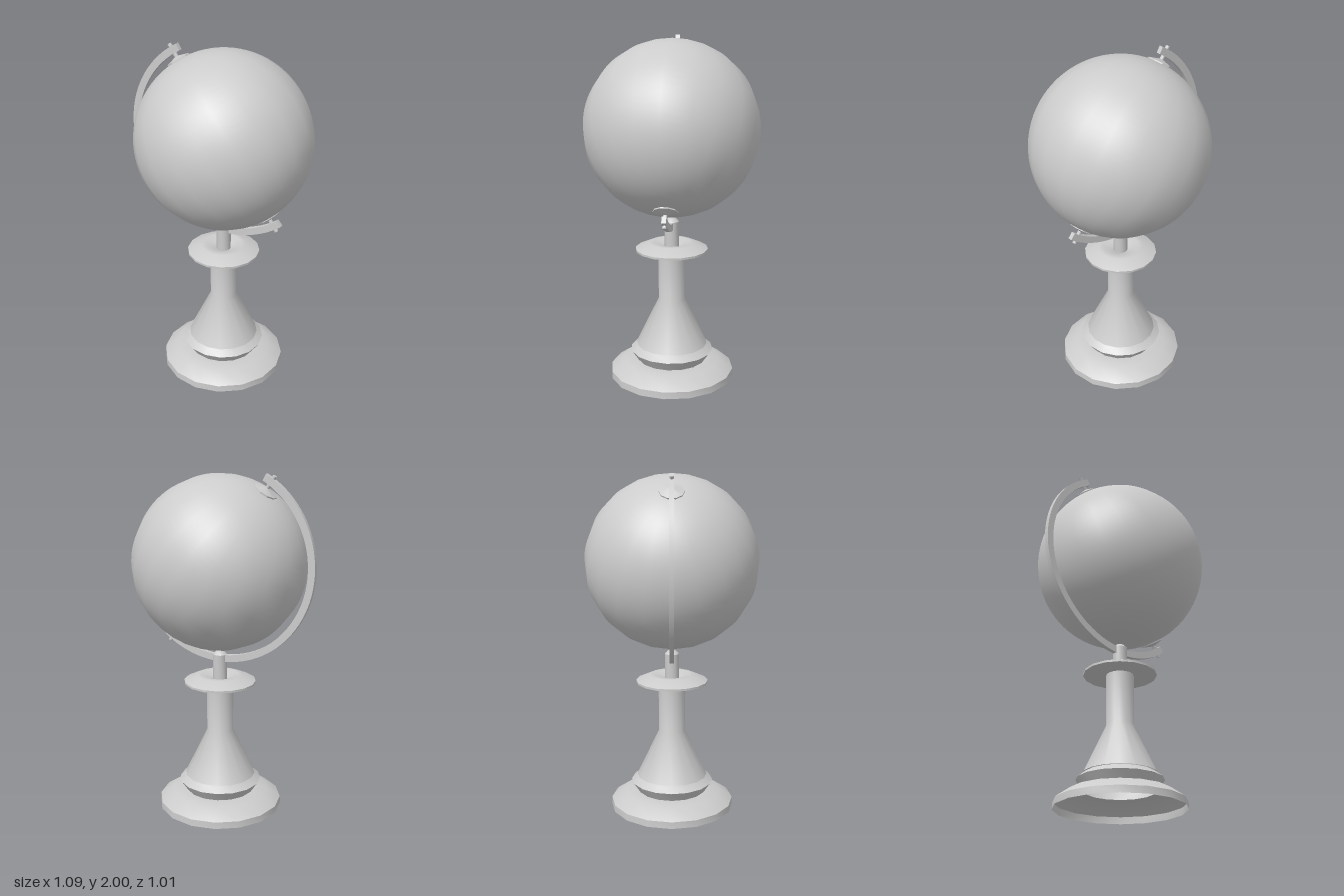
import * as THREE from 'three';
import { toCreasedNormals } from 'three/addons/utils/BufferGeometryUtils.js';

const AXIS_X = 0.035;          // stand and ball share this vertical axis
const BALL_Y = 1.49;
const TILT = THREE.MathUtils.degToRad(34);

const material = new THREE.MeshStandardMaterial({ color: 0xcccccc, side: THREE.DoubleSide });

function addMesh(parent, name, geometry) {
  const mesh = new THREE.Mesh(geometry, material);
  mesh.name = name;
  parent.add(mesh);
  return mesh;
}

// Turned part from [radius, height] pairs, smooth around and sharp at the steps
function turned(profile, sides) {
  const points = profile.map(([r, y]) => new THREE.Vector2(r, y));
  return toCreasedNormals(new THREE.LatheGeometry(points, sides), 0.6);
}

export function createModel() {
  const model = new THREE.Group();
  model.name = 'globeOnStand';

  // Stand: hollow turned parts, open underneath
  const stand = new THREE.Group();
  stand.name = 'stand';
  stand.position.x = AXIS_X;
  model.add(stand);
  addMesh(stand, 'foot', turned([[0.37, 0], [0.368, 0.04], [0.285, 0.097], [0.2, 0.1]], 16));
  addMesh(stand, 'collar', turned([[0.205, 0.1], [0.245, 0.16], [0.2, 0.195]], 16));
  addMesh(stand, 'column', turned([[0.21, 0.195], [0.078, 0.475], [0.08, 0.78]], 16));
  addMesh(stand, 'flange', turned(
    [[0.04, 0.775], [0.213, 0.775], [0.213, 0.787], [0.135, 0.822], [0.11, 0.825], [0.04, 0.795]], 16));
  addMesh(stand, 'post', turned([[0.042, 0.775], [0.042, 0.948], [0.025, 0.966], [0, 0.974]], 12));

  // Everything that leans with the tilted axis
  const tilted = new THREE.Group();
  tilted.name = 'tiltedAssembly';
  tilted.position.set(AXIS_X, BALL_Y, 0);
  tilted.rotation.z = TILT;
  model.add(tilted);

  addMesh(tilted, 'ball', new THREE.SphereGeometry(0.503, 20, 40));

  // Curved arm running from pole to pole, a little past each pivot
  const start = Math.PI / 2 - 0.08;
  const end = Math.PI * 1.5 + 0.08;
  const arc = new THREE.Shape();
  arc.absarc(0, 0, 0.584, start, end, false);
  arc.absarc(0, 0, 0.543, end, start, true);
  const arm = new THREE.ExtrudeGeometry(arc, { depth: 0.026, bevelEnabled: false, curveSegments: 40 });
  arm.translate(0, 0, -0.013);
  addMesh(tilted, 'arm', toCreasedNormals(arm, 0.5));

  // Pivot cap and pin at each pole
  const pivot = turned(
    [[0, 0.494], [0.071, 0.494], [0.071, 0.505], [0.024, 0.518], [0.012, 0.522], [0.012, 0.6], [0, 0.603]], 10);
  addMesh(tilted, 'upperPivot', pivot);
  addMesh(tilted, 'lowerPivot', pivot).rotation.z = Math.PI;

  return model;
}
